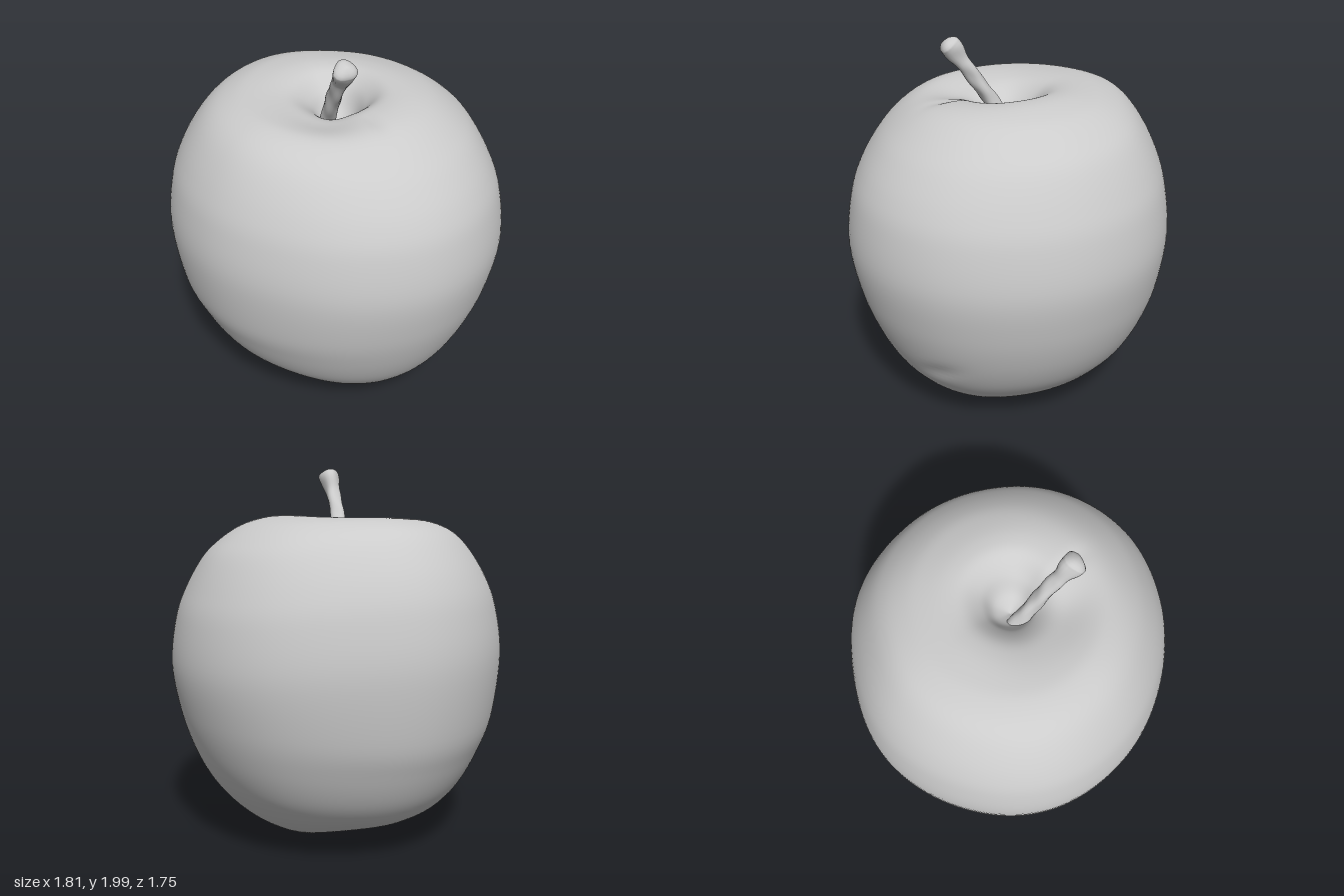
import * as THREE from 'three';
import { mergeVertices } from 'three/addons/utils/BufferGeometryUtils.js';

const V = (x, y, z) => new THREE.Vector3(x, y, z);
const bump = (d, w) => Math.exp(-(d * d) / (w * w));
const angleGap = (a, deg) => {
  const d = a - THREE.MathUtils.degToRad(deg);
  return Math.atan2(Math.sin(d), Math.cos(d));
};

// Weld seams and poles so the normals run smoothly all round
function weld(geometry) {
  geometry.deleteAttribute('uv');
  geometry.deleteAttribute('normal');
  const welded = mergeVertices(geometry, 1e-5);
  welded.computeVertexNormals();
  return welded;
}

// Round tube whose radius follows radius(t, angle); closes where it reaches 0
function taperedTube(points, radius, rings, sides) {
  const curve = new THREE.CatmullRomCurve3(points);
  const geometry = new THREE.TubeGeometry(curve, rings, 1, sides);
  const pos = geometry.attributes.position;
  const p = V(0, 0, 0);
  for (let i = 0; i <= rings; i++) {
    const centre = curve.getPointAt(i / rings);
    for (let j = 0; j <= sides; j++) {
      const k = i * (sides + 1) + j;
      p.fromBufferAttribute(pos, k).sub(centre);
      p.multiplyScalar(radius(i / rings, (j / sides) * Math.PI * 2)).add(centre);
      pos.setXYZ(k, p.x, p.y, p.z);
    }
  }
  return weld(geometry);
}

// Outline radius at the waist, every 30 degrees from +x towards +z
const waist = new THREE.CatmullRomCurve3(
  [0.9, 0.86, 0.843, 0.87, 0.908, 0.907, 0.905, 0.865, 0.875, 0.873, 0.878, 0.902].map((r) => V(r, 0, 0)),
  true, 'catmullrom');

// From calyx basin to stem cavity: share of the waist radius,
// then the height on the +x, +z, -x and -z sides
const sections = [
  [0, 0.2, 0.2, 0.2, 0.2],
  [0.06, 0.19, 0.195, 0.195, 0.19],
  [0.12, 0.14, 0.18, 0.17, 0.14],
  [0.2, 0.05, 0.17, 0.13, 0.07],
  [0.3, 0.005, 0.163, 0.115, 0.035],
  [0.4, 0.02, 0.165, 0.12, 0.065],
  [0.5, 0.055, 0.182, 0.14, 0.11],
  [0.6, 0.12, 0.215, 0.18, 0.17],
  [0.7, 0.21, 0.275, 0.24, 0.255],
  [0.8, 0.34, 0.38, 0.345, 0.37],
  [0.89, 0.52, 0.535, 0.5, 0.53],
  [0.96, 0.73, 0.71, 0.68, 0.73],
  [1, 0.98, 1.01, 1.01, 0.97],
  [0.965, 1.22, 1.25, 1.27, 1.21],
  [0.9, 1.37, 1.41, 1.44, 1.37],
  [0.8, 1.5, 1.56, 1.585, 1.53],
  [0.7, 1.59, 1.65, 1.675, 1.62],
  [0.58, 1.67, 1.7, 1.72, 1.69],
  [0.47, 1.715, 1.71, 1.735, 1.725],
  [0.35, 1.73, 1.7, 1.735, 1.745],
  [0.25, 1.71, 1.675, 1.71, 1.735],
  [0.16, 1.63, 1.62, 1.64, 1.67],
  [0.09, 1.545, 1.545, 1.55, 1.56],
  [0, 1.5, 1.5, 1.5, 1.5],
];

function bodyGeometry() {
  const sides = [1, 2, 3, 4].map((k) =>
    new THREE.SplineCurve(sections.map((s) => new THREE.Vector2(s[0], s[k]))).getPoints(138));
  const geometry = new THREE.LatheGeometry(sides[0], 144);
  const pos = geometry.attributes.position;
  for (let i = 0; i < pos.count; i++) {
    const x = pos.getX(i), z = pos.getZ(i);
    const f = Math.hypot(x, z);
    const a = Math.atan2(z, x);
    const c = Math.cos(a), s = Math.sin(a);
    // blend the four side profiles by direction
    const [right, front, left, back] = sides.map((side) => side[i % side.length].y);
    let y = c * c * (c > 0 ? right : left) + s * s * (s > 0 ? front : back);
    let r = f * waist.getPoint(((a / (Math.PI * 2)) + 1) % 1).x;
    let shift = 0;
    if (y < 0.97) {
      // calyx basin sits a little to one side
      shift = -0.06 * (1 - f);
      // shallow slanting dent low on the +x side
      r -= 0.014 * bump(angleGap(a, -28), 0.16) * bump(y - 0.43 + 0.3 * angleGap(a, -28), 0.05);
    } else {
      // low spot in the rim, and a small crease running out from the cavity
      y -= 0.05 * bump(angleGap(a, 45), 0.65) * bump(f - 0.34, 0.18);
      y -= 0.01 * bump(angleGap(a, 10), 0.1) * bump(f - 0.38, 0.12);
    }
    pos.setXYZ(i, r * c + shift, y, r * s);
  }
  return weld(geometry);
}

export function createModel() {
  const group = new THREE.Group();
  const material = new THREE.MeshStandardMaterial({ color: 0xcccccc, side: THREE.DoubleSide });
  const add = (name, geometry, parent = group) => {
    const mesh = new THREE.Mesh(geometry, material);
    mesh.name = name;
    parent.add(mesh);
    return mesh;
  };

  add('appleBody', bodyGeometry());

  // Leaning stem with a knobbly tip
  const stemRadius = (t, a) => {
    const end = Math.sqrt(Math.min(1, (1 - t) / 0.05));
    const shape = 0.038 + 0.012 * bump(t, 0.15) + 0.018 * THREE.MathUtils.smoothstep(t, 0.75, 0.92);
    const knobs = 1 + 0.08 * Math.sin(3 * a + 9 * t) + 0.05 * Math.sin(2 * a - 25 * t);
    return end * shape * knobs;
  };
  add('stem', taperedTube([
    V(-0.03, 1.47, 0.06), V(0.01, 1.58, 0.075), V(0.08, 1.7, 0.1), V(0.17, 1.84, 0.13), V(0.275, 1.985, 0.165),
  ], stemRadius, 60, 20));

  // Dried calyx: curled sepals round a small central tuft
  const calyx = new THREE.Group();
  calyx.name = 'calyx';
  calyx.position.set(-0.06, 0.19, 0);
  group.add(calyx);
  for (let i = 0; i < 5; i++) {
    const bend = i % 2 ? 0.03 : -0.02;
    const sepal = add('sepal', taperedTube([
      V(0.02, 0.02, 0), V(0.06, -0.03, 0.01), V(0.1, -0.055, bend), V(0.14, -0.045 - bend, bend * 1.5),
    ], (t) => 0.022 * Math.sqrt(1 - t), 16, 8), calyx);
    sepal.rotation.y = i * Math.PI * 0.4 + 0.3;
  }
  for (let i = 0; i < 6; i++) {
    const a = (i / 6) * Math.PI * 2;
    add('stamen', taperedTube([
      V(0.015 * Math.cos(a), 0.02, 0.015 * Math.sin(a)),
      V(0.03 * Math.cos(a), -0.03, 0.03 * Math.sin(a)),
      V(0.025 * Math.cos(a + 0.8), -0.07, 0.025 * Math.sin(a + 0.8)),
    ], (t) => 0.01 * Math.sqrt(1 - t), 10, 6), calyx);
  }
  return group;
}
